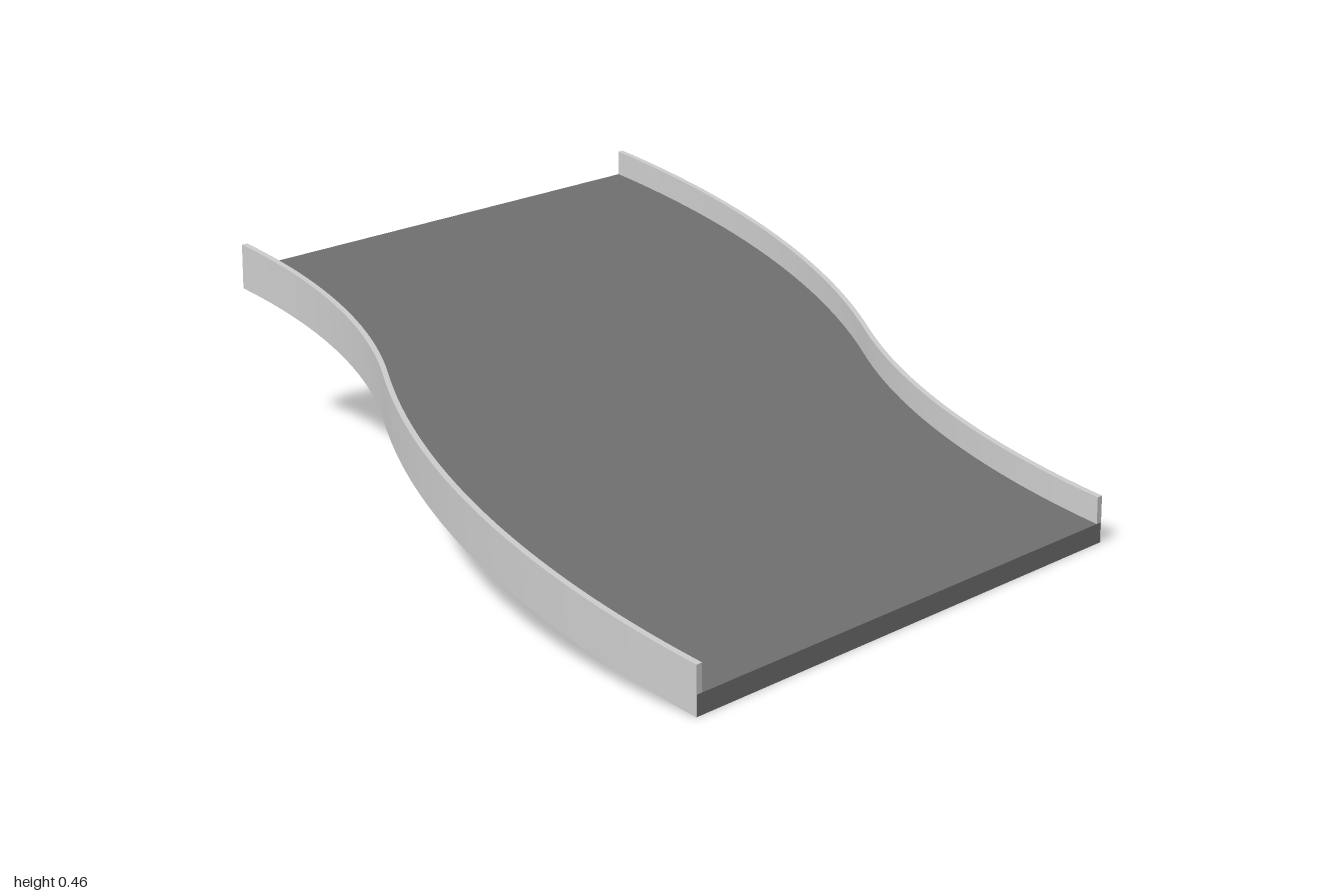
import * as THREE from 'three';
import { toCreasedNormals } from 'three/addons/utils/BufferGeometryUtils.js';

const HALF = 0.983;   // half length along x
const SHIFT = 0.67;   // sideways shift from the high end to the low end
const DROP = 0.35;    // height lost along the ramp
const DECK = 0.045;   // deck thickness
const WALL = 0.105;   // kerb top above the underside
const KERB = 0.016;   // kerb thickness
const SKIN = 0.002;   // kerb facing over the deck edge
const STEPS = 64;

// S-bend of two tangent arcs; r1 is the radius of the first arc
function sBend(zStart, r1) {
  const angle = 2 * Math.atan(SHIFT / (2 * HALF));
  const r2 = (2 * HALF) / Math.sin(angle) - r1;
  const joint = -HALF + r1 * Math.sin(angle);
  const sag = (r, d) => r - Math.sqrt(r * r - d * d);
  return (x) => (x < joint
    ? zStart + sag(r1, x + HALF)
    : zStart + SHIFT - sag(r2, HALF - x));
}

// Closed solid swept along x; section(x) gives [z, height above underside] points
function sweep(section) {
  const rings = [];
  for (let i = 0; i <= STEPS; i++) {
    const x = -HALF + (2 * HALF * i) / STEPS;
    const base = (DROP * (HALF - x)) / (2 * HALF);
    let pts = section(x).map(([z, y]) => new THREE.Vector2(z, y));
    if (THREE.ShapeUtils.isClockWise(pts)) pts = pts.reverse();
    rings.push({ x, base, pts });
  }
  const positions = [];
  const put = (i, j) => {
    const { x, base, pts } = rings[i];
    positions.push(x, base + pts[j].y, pts[j].x);
  };
  const n = rings[0].pts.length;
  for (let i = 0; i < STEPS; i++) {
    for (let a = 0; a < n; a++) {
      const b = (a + 1) % n;
      put(i, b); put(i, a); put(i + 1, a);
      put(i, b); put(i + 1, a); put(i + 1, b);
    }
  }
  // End caps
  for (const [a, b, c] of THREE.ShapeUtils.triangulateShape(rings[0].pts, [])) {
    put(0, a); put(0, b); put(0, c);
    put(STEPS, a); put(STEPS, c); put(STEPS, b);
  }
  const geometry = new THREE.BufferGeometry();
  geometry.setAttribute('position', new THREE.Float32BufferAttribute(positions, 3));
  return toCreasedNormals(geometry, Math.PI / 6);
}

export function createModel() {
  const group = new THREE.Group();
  group.name = 'curvedRamp';
  const deckMaterial = new THREE.MeshStandardMaterial({ color: 0x6f6f6f });
  const kerbMaterial = new THREE.MeshStandardMaterial({ color: 0xcccccc });
  const backEdge = sBend(-1, 1.81);
  const frontEdge = sBend(1 - SHIFT, 1.16);

  const add = (name, geometry, material) => {
    const mesh = new THREE.Mesh(geometry, material);
    mesh.name = name;
    group.add(mesh);
  };

  // Sloping deck between the two bends
  add('deck', sweep((x) => {
    const back = backEdge(x) + SKIN;
    const front = frontEdge(x) - SKIN;
    return [[back, 0], [front, 0], [front, DECK], [back, DECK]];
  }), deckMaterial);

  // Kerbs standing on the deck, with a thin facing down its edge
  const kerb = (edge, inward) => sweep((x) => {
    const z = edge(x);
    return [
      [z, 0], [z, WALL], [z + inward * KERB, WALL], [z + inward * KERB, DECK],
      [z + inward * SKIN, DECK], [z + inward * SKIN, 0],
    ];
  });
  add('backKerb', kerb(backEdge, 1), kerbMaterial);
  add('frontKerb', kerb(frontEdge, -1), kerbMaterial);
  return group;
}
